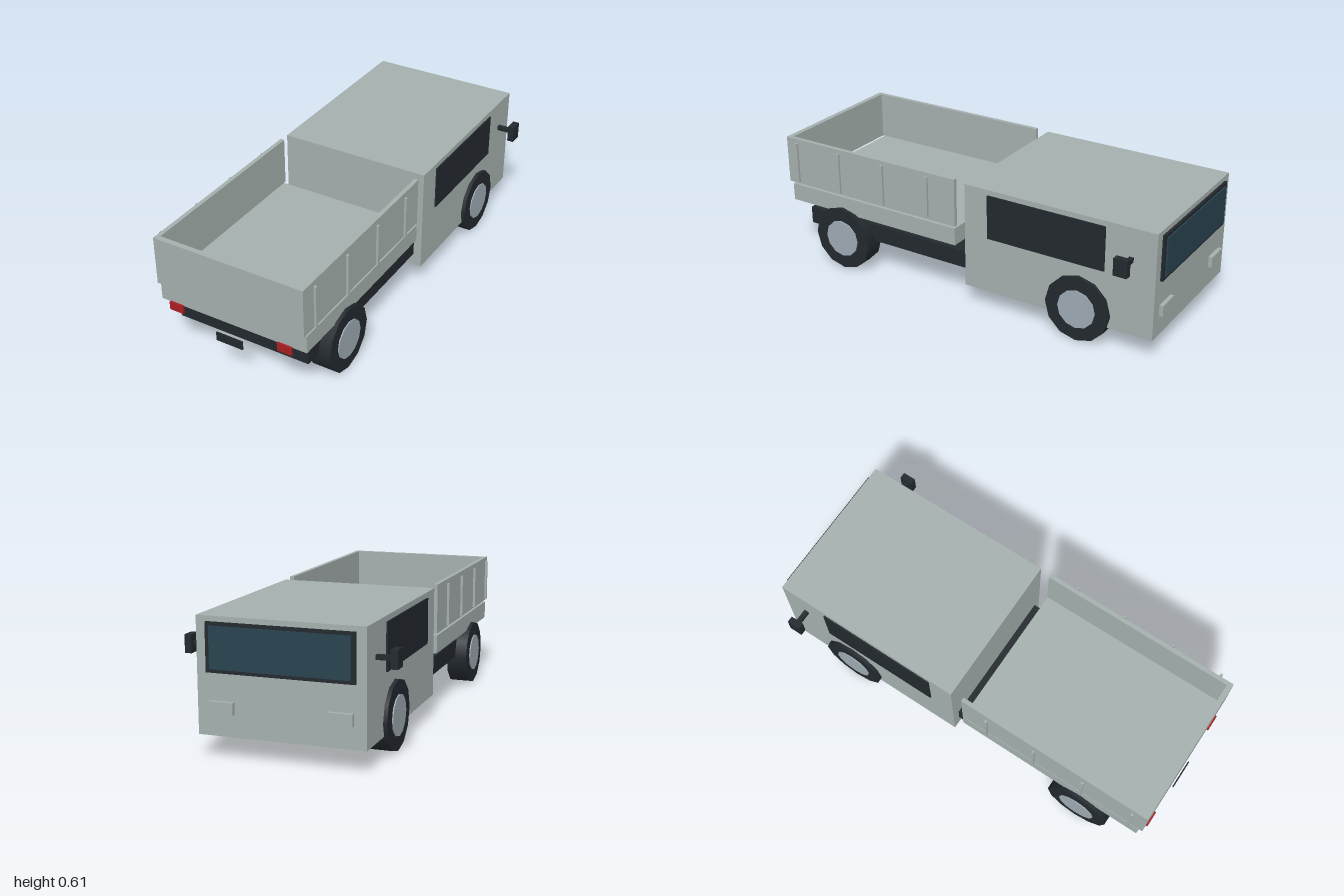
import * as THREE from 'three';

const mat = (color) => new THREE.MeshStandardMaterial({ color });

export function createModel() {
  const truck = new THREE.Group();
  truck.name = 'flatbedTruck';

  const body = mat(0xa5b0ae);
  const dark = mat(0x23292e);
  const glass = mat(0x28434f);
  const red = mat(0xa81e22);
  const hubGrey = mat(0x9eaab3);

  // Box given by its min and max on each axis
  function box(name, material, [x0, x1], [y0, y1], [z0, z1]) {
    const mesh = new THREE.Mesh(new THREE.BoxGeometry(x1 - x0, y1 - y0, z1 - z0), material);
    mesh.position.set((x0 + x1) / 2, (y0 + y1) / 2, (z0 + z1) / 2);
    mesh.name = name;
    truck.add(mesh);
  }

  // Same box on both sides of the truck
  function pair(name, material, [x0, x1], y, z) {
    box(name + 'Left', material, [x0, x1], y, z);
    box(name + 'Right', material, [-x1, -x0], y, z);
  }

  // Cab with windows, lamps and mirrors
  box('cab', body, [-0.37, 0.37], [0.1, 0.605], [-0.982, -0.038]);
  box('windscreenFrame', dark, [-0.325, 0.325], [0.37, 0.582], [-0.994, -0.97]);
  box('windscreen', glass, [-0.307, 0.307], [0.386, 0.567], [-1, -0.98]);
  pair('sideWindow', dark, [0.36, 0.377], [0.37, 0.58], [-0.745, -0.16]);
  pair('headlamp', body, [0.205, 0.315], [0.197, 0.25], [-1, -0.97]);
  pair('mirrorArm', dark, [0.36, 0.445], [0.45, 0.471], [-0.878, -0.857]);
  pair('mirror', dark, [0.438, 0.469], [0.42, 0.5], [-0.896, -0.832]);

  // Chassis
  box('chassis', dark, [-0.33, 0.33], [0.16, 0.245], [-0.9, 0.9]);

  // Load bed: floor, side boards and tailgate, open towards the cab
  box('bedFloor', body, [-0.37, 0.37], [0.285, 0.37], [0.018, 0.97]);
  pair('sideBoard', body, [0.35, 0.37], [0.38, 0.612], [0.018, 0.99]);
  box('tailgate', body, [-0.37, 0.37], [0.38, 0.612], [0.965, 0.99]);
  [0.16, 0.412, 0.667, 0.92].forEach((z, i) =>
    pair('boardRib' + (i + 1), body, [0.379, 0.39], [0.395, 0.597], [z - 0.006, z + 0.006]));

  // Tail lamps and number plate
  pair('tailLamp', red, [0.24, 0.31], [0.265, 0.304], [0.985, 0.996]);
  box('plate', dark, [-0.067, 0.067], [0.197, 0.24], [0.994, 1]);

  // Wheels: twelve-sided tyre with a hub disc on the outside
  const tyreGeo = new THREE.CylinderGeometry(0.157, 0.157, 0.101, 12).rotateZ(Math.PI / 2);
  const hubGeo = new THREE.CylinderGeometry(0.092, 0.092, 0.05, 12).rotateZ(Math.PI / 2);
  for (const [end, z] of [['front', -0.625], ['rear', 0.665]]) {
    for (const side of [-1, 1]) {
      const wheel = new THREE.Group();
      wheel.name = end + 'Wheel' + (side > 0 ? 'Left' : 'Right');
      const tyre = new THREE.Mesh(tyreGeo, dark);
      tyre.name = 'tyre';
      const hub = new THREE.Mesh(hubGeo, hubGrey);
      hub.name = 'hub';
      hub.position.x = side * 0.031;
      wheel.add(tyre, hub);
      wheel.position.set(side * 0.337, 0.157, z);
      truck.add(wheel);
    }
  }

  return truck;
}
